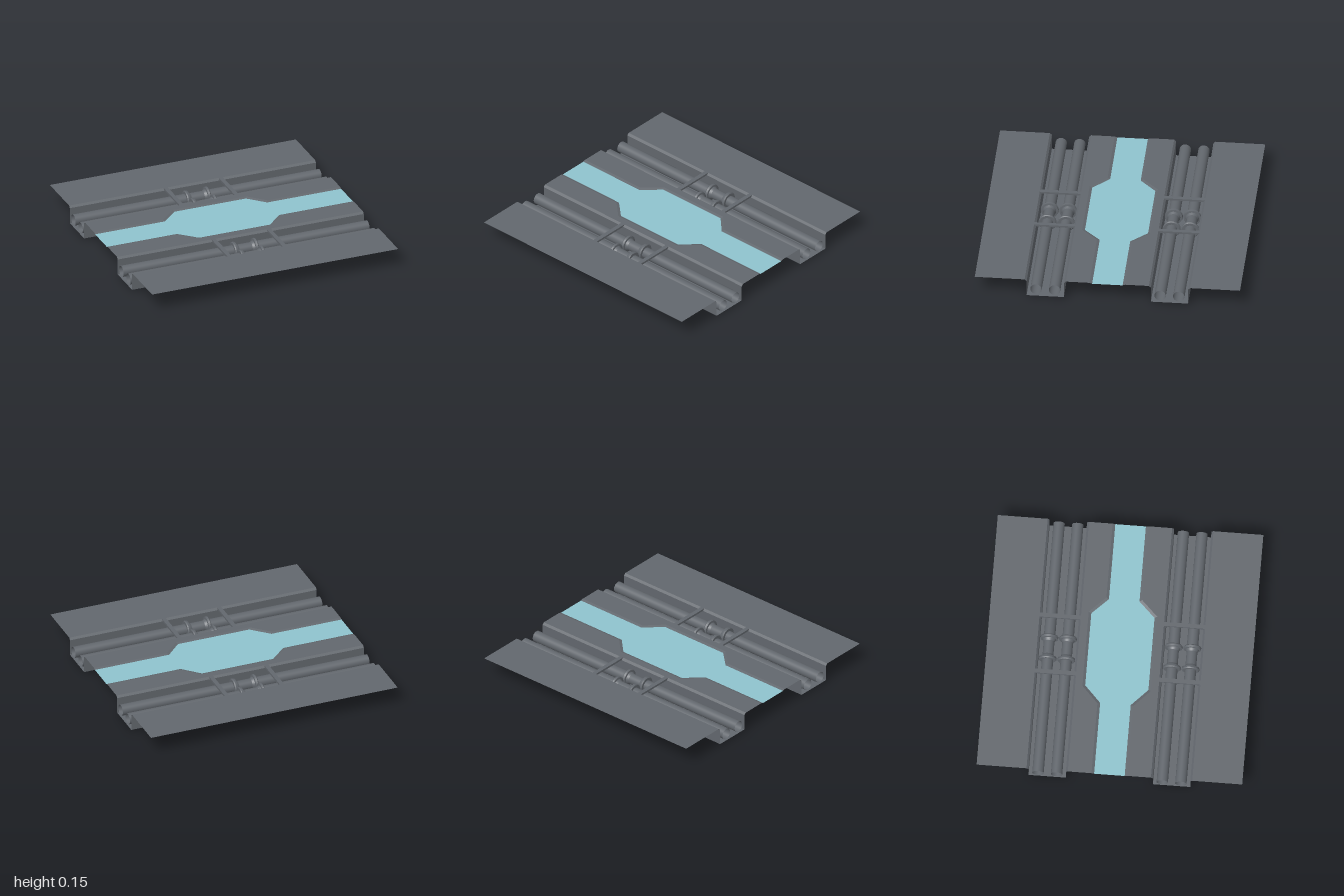
import * as THREE from 'three';

const TOP = 0.15, LIP = 0.135, FLOOR = 0.01, POOL = 0.143;
const IN = 0.313, OUT = 0.624, BEVEL = 0.015;

const plating = new THREE.MeshStandardMaterial({ color: 0x62676d, side: THREE.DoubleSide });
plating.name = 'grey plating';
const panelBlue = new THREE.MeshStandardMaterial({ color: 0x8fc3cd, side: THREE.DoubleSide });
panelBlue.name = 'pale blue';

function add(parent, name, geometry, material = plating) {
  const mesh = new THREE.Mesh(geometry, material);
  mesh.name = name;
  parent.add(mesh);
  return mesh;
}

// Flat horizontal sheet from [x, z] outline points
function sheet(points, y) {
  const shape = new THREE.Shape(points.map(([x, z]) => new THREE.Vector2(x, -z)));
  return new THREE.ShapeGeometry(shape).rotateX(-Math.PI / 2).translate(0, y, 0);
}
const rect = (x0, x1, z0, z1, y) => sheet([[x0, z0], [x0, z1], [x1, z1], [x1, z0]], y);

// Flat-shaded band joining two polylines of [x, y, z] points
function band(a, b) {
  const p = [];
  for (let i = 0; i < a.length - 1; i++) {
    p.push(...a[i], ...b[i], ...b[i + 1], ...a[i], ...b[i + 1], ...a[i + 1]);
  }
  const g = new THREE.BufferGeometry();
  g.setAttribute('position', new THREE.Float32BufferAttribute(p, 3));
  g.computeVertexNormals();
  return g;
}

// Surface of revolution along x from [radius, x] points, sharp between segments
function addTurned(parent, name, profile, y, z) {
  const group = new THREE.Group();
  group.name = name;
  for (let i = 0; i < profile.length - 1; i++) {
    const pts = [profile[i], profile[i + 1]].map(([r, x]) => new THREE.Vector2(r, x));
    add(group, name + 'Section', new THREE.LatheGeometry(pts, 32).rotateZ(-Math.PI / 2));
  }
  group.position.set(0, y, z);
  parent.add(group);
}

export function createModel() {
  const model = new THREE.Group();
  model.name = 'floorSection';

  // Half outlines of the central inlay, outer rim and inner edge
  const rim = [[-1, 0.135], [-0.44, 0.135], [-0.31, 0.258], [0.285, 0.258], [0.408, 0.135], [1, 0.135]];
  const inlay = [[-1, 0.115], [-0.432, 0.115], [-0.301, 0.238], [0.276, 0.238], [0.399, 0.115], [1, 0.115]];
  const openings = [[-1, -0.231], [-0.198, 0.217], [0.249, 1]];
  const bars = [[-0.231, -0.198], [0.217, 0.249]];

  // Pale central panel
  const mirrored = inlay.map(([x, z]) => [x, -z]).reverse();
  add(model, 'centralPanel', sheet([...inlay, ...mirrored], POOL), panelBlue);

  for (const s of [1, -1]) {
    const side = new THREE.Group();
    side.name = s > 0 ? 'frontHalf' : 'backHalf';
    model.add(side);

    // Floor plates on both sides of the trench
    add(side, 'outerPlate', rect(-1, 1, ...(s > 0 ? [OUT, 1] : [-1, -OUT]), TOP));
    add(side, 'innerPlate', sheet([...rim.map(([x, z]) => [x, s * z]), [1, s * IN], [-1, s * IN]], TOP));

    // Bevel around the central panel
    add(side, 'panelBevel', band(
      (s > 0 ? rim : [...rim].reverse()).map(([x, z]) => [x, TOP, s * z]),
      (s > 0 ? inlay : [...inlay].reverse()).map(([x, z]) => [x, POOL, s * z])));

    // Trench walls and floor
    const zi = s * (IN + BEVEL), zo = s * (OUT - BEVEL);
    for (const z of [zi, zo]) {
      const front = z === Math.min(zi, zo); // this wall faces +z
      const xs = front ? [-1, 1] : [1, -1];
      add(side, 'trenchWall', band(xs.map(x => [x, LIP, z]), xs.map(x => [x, FLOOR, z])));
    }
    add(side, 'trenchFloor', rect(-1, 1, Math.min(zi, zo), Math.max(zi, zo), FLOOR));

    // Bevelled lips along each trench opening
    for (const [x0, x1] of openings) {
      for (const [zTop, zLow] of [[s * IN, zi], [s * OUT, zo]]) {
        const xs = zLow > zTop ? [x0, x1] : [x1, x0];
        add(side, 'trenchLip', band(xs.map(x => [x, TOP, zTop]), xs.map(x => [x, LIP, zLow])));
      }
    }

    // Crossbars over the trench, with short side skirts
    for (const [x0, x1] of bars) {
      add(side, 'crossbar', rect(x0, x1, Math.min(s * IN, s * OUT), Math.max(s * IN, s * OUT), TOP));
      for (const x of [x0, x1]) {
        const ends = (s > 0) === (x === x1) ? [1, 0] : [0, 1];
        const tops = [[x, TOP, s * IN], [x, TOP, s * OUT]];
        const lows = [[x, LIP, zi], [x, LIP, zo]];
        add(side, 'crossbarSkirt', band(ends.map(i => tops[i]), ends.map(i => lows[i])));
      }
    }

    // Two hollow pipes with a flanged coupling in the middle
    for (const z of [0.398, 0.538]) {
      addTurned(side, 'pipe', [[0.043, -1], [0.043, -0.096]], 0.068, s * z);
      addTurned(side, 'pipe', [[0.043, 0.096], [0.043, 1]], 0.068, s * z);
      addTurned(side, 'coupling', [
        [0.043, -0.096], [0.062, -0.096], [0.068, -0.088], [0.065, -0.073], [0.05, -0.071], [0.041, -0.052],
        [0.041, 0.052], [0.05, 0.071], [0.065, 0.073], [0.068, 0.088], [0.062, 0.096], [0.043, 0.096],
      ], 0.068, s * z);
    }
  }
  return model;
}
